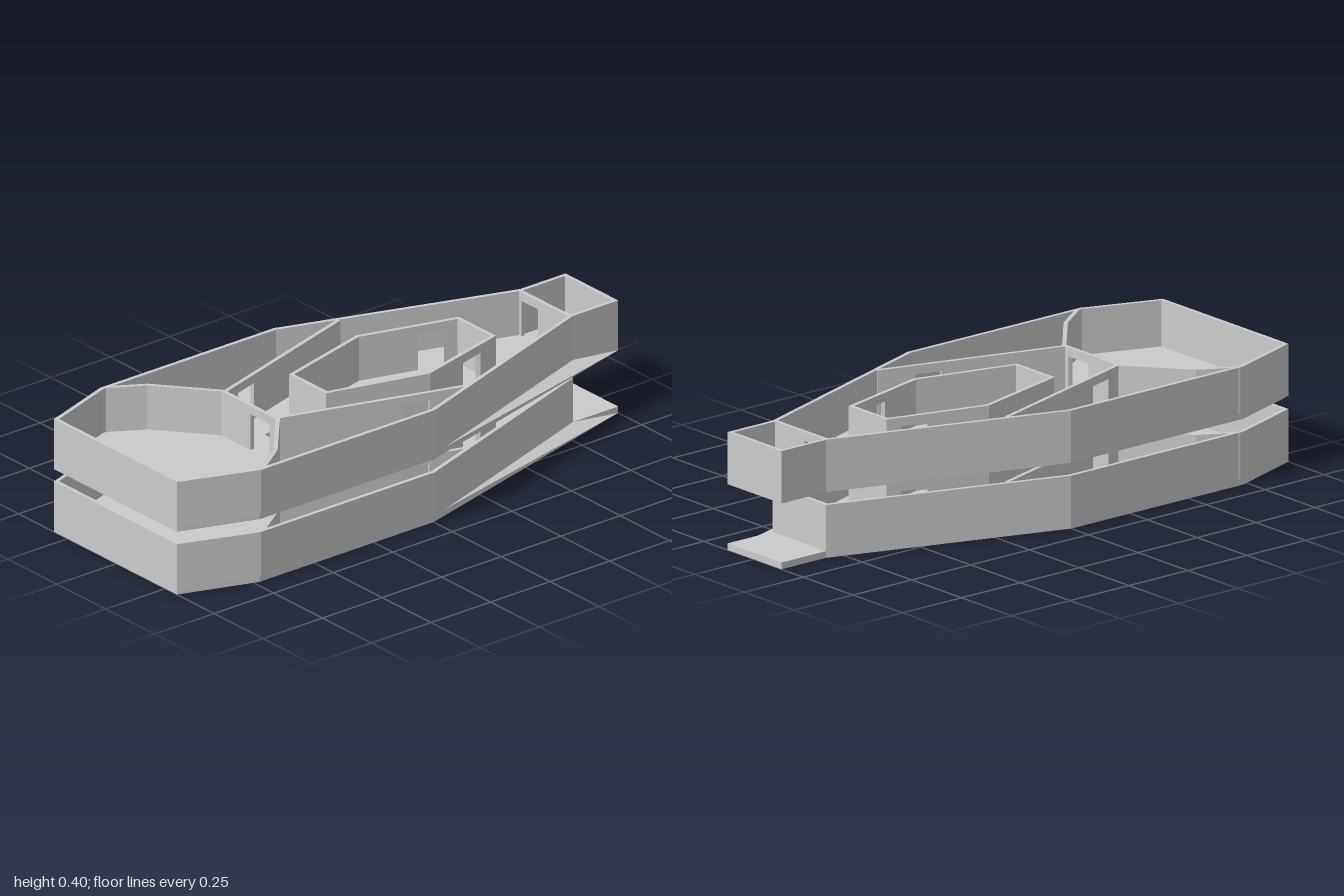
import * as THREE from 'three';
import { mergeGeometries } from 'three/addons/utils/BufferGeometryUtils.js';
import { ConvexGeometry } from 'three/addons/geometries/ConvexGeometry.js';

const THICK = 0.014;
const material = new THREE.MeshStandardMaterial({ color: 0xcccccc, flatShading: true });

// Plan outlines as [x, z], walked so that the inside lies to the left
const FRONT = [[-0.32, 1], [0.31, 1], [0.41, 0.73], [0.41, 0], [0.13, -0.81]];
const TAIL = [[0.13, -1], [-0.14, -1]];
const BACK = [[-0.14, -0.81], [-0.413, 0], [-0.413, 0.73]];
const CORE = [[-0.105, 0.19], [0.085, 0.19], [0.18, -0.17], [0.09, -0.52], [-0.1, -0.52], [-0.2, -0.17]];
const FRONT_ROOM = [[-0.402, 0.72], [-0.33, 0.6], [-0.14, 0.442], [0.135, 0.442], [0.315, 0.6], [0.397, 0.72]];
const STAIR_OPENING = [[-0.1, 0.192], [0.08, 0.192], [0.04, 0.33], [-0.055, 0.33]];

const toVectors = (pts) => pts.map(([x, z]) => new THREE.Vector2(x, -z));

// Upright prism over a plan outline
function prism(pts, y0, y1, hole) {
  const shape = new THREE.Shape(toVectors(pts));
  if (hole) shape.holes.push(new THREE.Path(toVectors(hole)));
  const geo = new THREE.ExtrudeGeometry(shape, { depth: y1 - y0, bevelEnabled: false });
  return geo.rotateX(-Math.PI / 2).translate(0, y0, 0);
}

// Mitred offset of a path to its left
function inset(pts, closed) {
  const n = pts.length;
  const normal = (i) => {
    const a = pts[i], b = pts[(i + 1) % n];
    const dx = b[0] - a[0], dz = b[1] - a[1], len = Math.hypot(dx, dz);
    return [dz / len, -dx / len];
  };
  return pts.map(([x, z], i) => {
    const p = normal(closed || i > 0 ? (i + n - 1) % n : 0);
    const q = normal(closed || i < n - 1 ? i : n - 2);
    const k = THICK / (1 + p[0] * q[0] + p[1] * q[1]);
    return [x + (p[0] + q[0]) * k, z + (p[1] + q[1]) * k];
  });
}

// Wall along a path; doors maps a segment number to [start, end] fractions
function wall(name, pts, closed, y0, y1, doors = {}) {
  const inner = inset(pts, closed);
  const n = pts.length;
  const lerp = (a, b, t) => [a[0] + (b[0] - a[0]) * t, a[1] + (b[1] - a[1]) * t];
  const parts = [];
  for (let i = 0; i < (closed ? n : n - 1); i++) {
    const j = (i + 1) % n;
    const piece = (s, e, low) => parts.push(prism([
      lerp(pts[i], pts[j], s), lerp(pts[i], pts[j], e),
      lerp(inner[i], inner[j], e), lerp(inner[i], inner[j], s)], low, y1));
    if (doors[i]) {
      const [s, e] = doors[i];
      piece(0, s, y0);
      piece(s, e, y1 - 0.03); // lintel
      piece(e, 1, y0);
    } else piece(0, 1, y0);
  }
  const mesh = new THREE.Mesh(mergeGeometries(parts), material);
  mesh.name = name;
  return mesh;
}

function deck(name, base, floorTop, top, hasTail) {
  const group = new THREE.Group();
  group.name = name;

  // Floor slab, with a sloped fillet beside the tail
  const outline = [...FRONT, ...TAIL, ...BACK].map(([x, z]) => [Math.min(x, 0.404), z]);
  const floor = new THREE.Mesh(prism(outline, base, floorTop, hasTail ? STAIR_OPENING : null), material);
  floor.name = 'floor';
  const fillet = new THREE.Mesh(new ConvexGeometry([
    [0.404, base, 0], [0.404, floorTop, 0], [0.13, base, -1],
    [0.13, base, -0.81], [0.13, floorTop, -0.81],
  ].map((p) => new THREE.Vector3(...p))), material);
  fillet.name = 'floorFillet';
  group.add(floor, fillet);

  // Outer hull wall, with or without the tail room
  const hull = hasTail ? [...FRONT, ...TAIL, ...BACK] : [...FRONT, ...BACK];
  group.add(wall('hullWall', hull, true, floorTop, top));
  if (hasTail) {
    group.add(wall('tailPartition', [[0.125, -0.81], [-0.135, -0.81]], false, floorTop, top, { 0: [0.6, 0.93] }));
  }

  // Inner partitions and core room
  group.add(
    wall('frontRoomWall', FRONT_ROOM, false, floorTop, top, { 2: [0.53, 0.89] }),
    wall('rightPartition', [[0.137, 0.435], [0.333, -0.2]], false, floorTop, top, { 0: [0.66, 0.8] }),
    wall('leftPartition', [[-0.335, -0.2], [-0.142, 0.435]], false, floorTop, top, { 0: [0.76, 0.9] }),
    wall('coreWall', CORE, true, floorTop, top, { 2: [0.5, 0.76], 4: [0.14, 0.4] }),
  );
  return group;
}

export function createModel() {
  const model = new THREE.Group();
  model.name = 'twoDeckHull';
  model.add(deck('lowerDeck', 0.002, 0.025, 0.182, false));
  model.add(deck('upperDeck', 0.226, 0.247, 0.404, true));
  return model;
}
